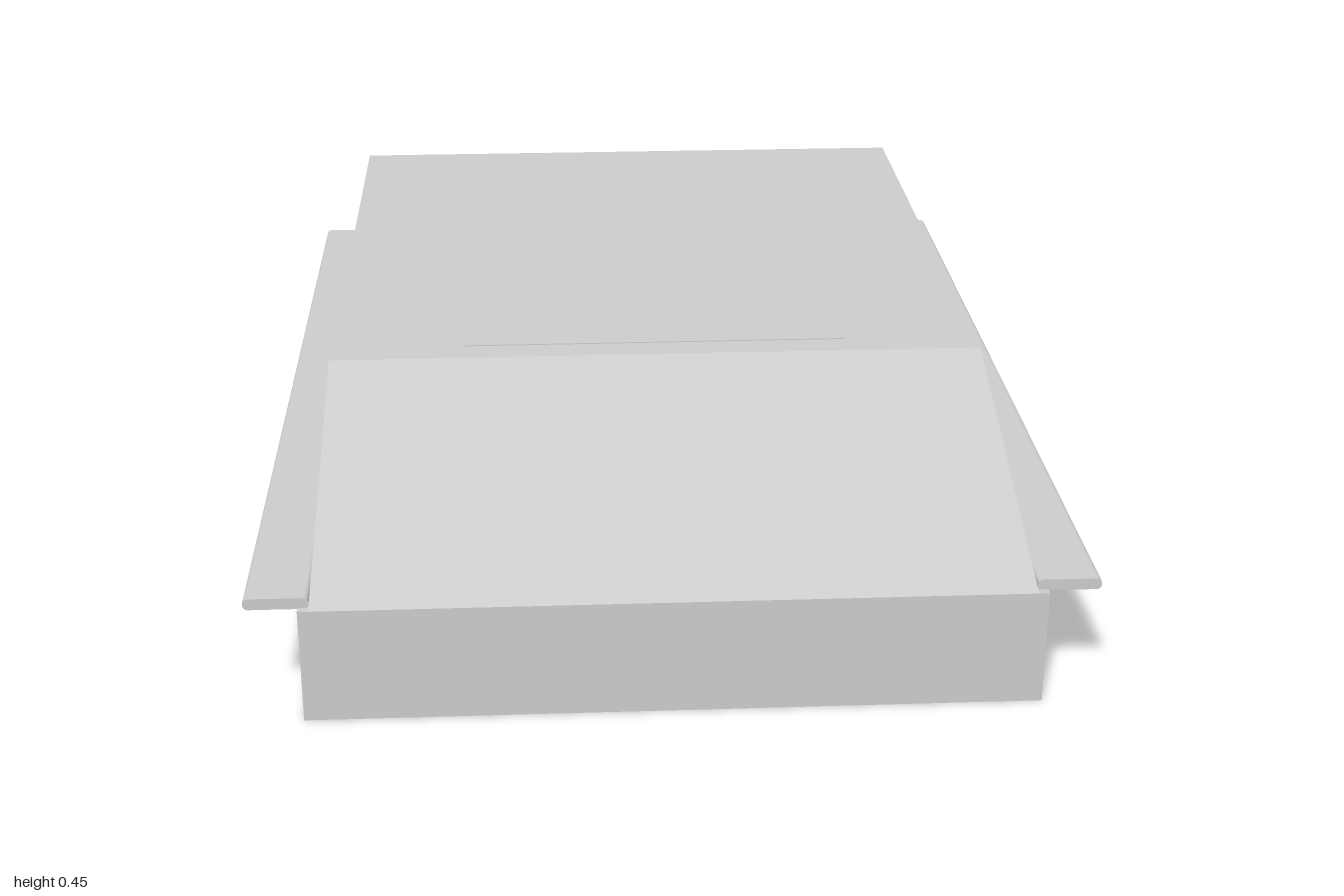
import * as THREE from 'three';

const material = new THREE.MeshStandardMaterial({ color: 0xcccccc, flatShading: true });

function part(name, geometry) {
  const mesh = new THREE.Mesh(geometry, material);
  mesh.name = name;
  return mesh;
}

function prism(points, depth) {
  const shape = new THREE.Shape(points.map(([a, b]) => new THREE.Vector2(a, b)));
  return new THREE.ExtrudeGeometry(shape, { depth, bevelEnabled: false });
}

export function createModel() {
  const model = new THREE.Group();
  model.name = 'slopedBody';

  // Lower body: tapers from a wide back to a narrower front
  const lower = prism([[-0.68, -1], [0.68, -1], [0.778, 1], [-0.778, 1]], 0.225);
  lower.rotateX(-Math.PI / 2);
  model.add(part('lowerBody', lower));

  // Upper body: side profile (z, y) with a sloping front, extruded across the width
  const upper = prism([[1, 0.225], [0.36, 0.445], [-1, 0.445], [-1, 0.225]], 1.32);
  upper.rotateY(-Math.PI / 2).translate(0.66, 0, 0);
  model.add(part('upperBody', upper));

  // Thin panel on the roof
  const panel = new THREE.BoxGeometry(0.78, 0.003, 0.4);
  panel.translate(0, 0.4455, 0.1);
  model.add(part('roofPanel', panel));

  // Side rails: flat strips with rounded edges, running the full length
  const width = 0.118, height = 0.022, r = 0.009;
  const w = width / 2 - r, h = height / 2 - r;
  const section = new THREE.Shape();
  section.absarc(w, h, r, 0, Math.PI / 2);
  section.absarc(-w, h, r, Math.PI / 2, Math.PI);
  section.absarc(-w, -h, r, Math.PI, Math.PI * 1.5);
  section.absarc(w, -h, r, Math.PI * 1.5, Math.PI * 2);
  for (const side of [-1, 1]) {
    const rail = new THREE.ExtrudeGeometry(section, { depth: 1.985, bevelEnabled: false, curveSegments: 4 });
    rail.translate(side * 0.719, 0.234, -1);
    model.add(part(side > 0 ? 'leftRail' : 'rightRail', rail));
  }

  return model;
}
